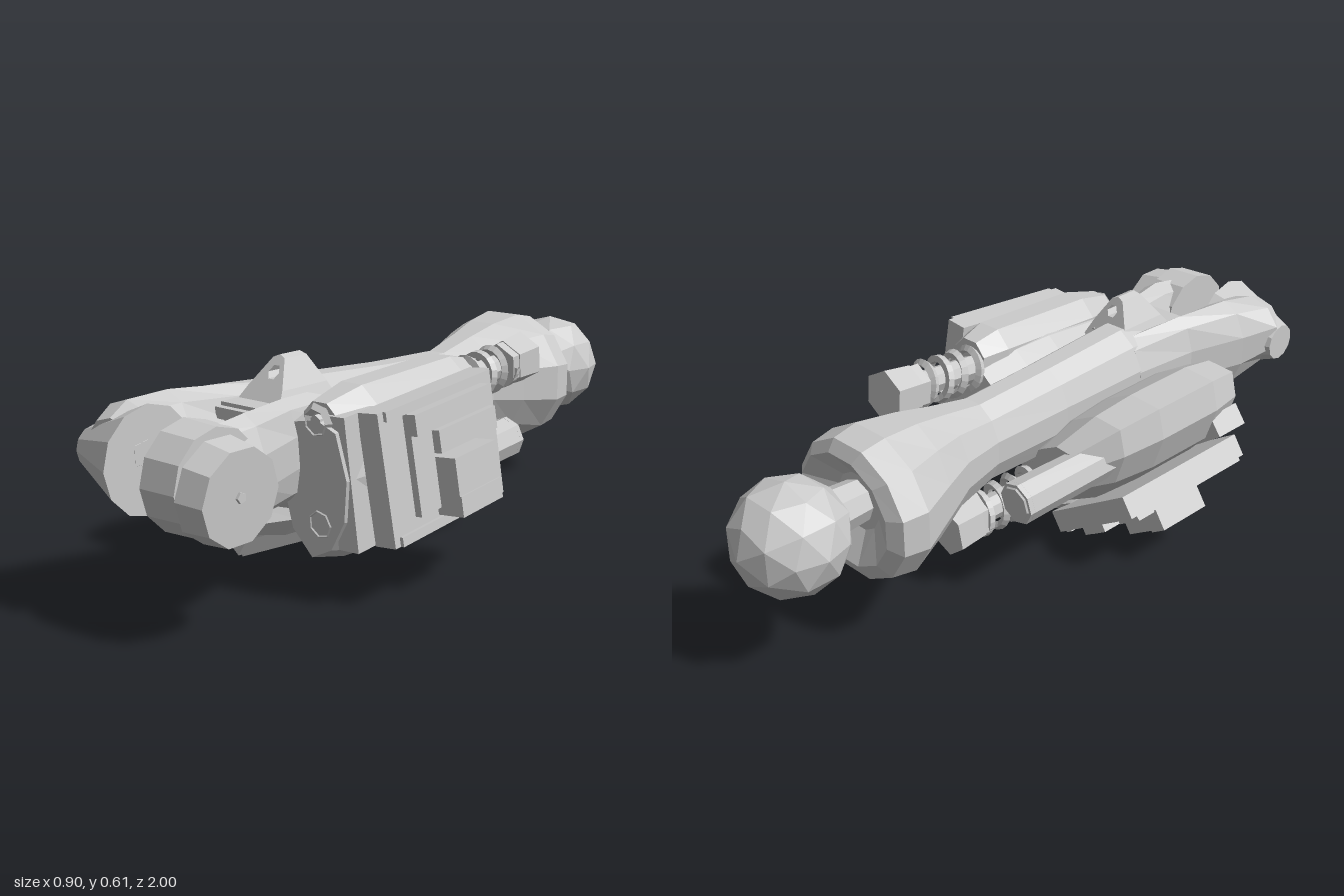
import * as THREE from 'three';

const mat = new THREE.MeshStandardMaterial({ color: 0xcccccc, flatShading: true, side: THREE.DoubleSide });

function add(parent, name, geo, x = 0, y = 0, z = 0) {
  const m = new THREE.Mesh(geo, mat);
  m.name = name;
  m.position.set(x, y, z);
  parent.add(m);
  return m;
}

// box from its minimum and maximum corners
function box(parent, name, x0, x1, y0, y1, z0, z1) {
  return add(parent, name, new THREE.BoxGeometry(x1 - x0, y1 - y0, z1 - z0),
    (x0 + x1) / 2, (y0 + y1) / 2, (z0 + z1) / 2);
}

const cylZ = (r0, r1, len, n) => new THREE.CylinderGeometry(r0, r1, len, n).rotateX(Math.PI / 2);
const cylX = (r0, r1, len, n) => new THREE.CylinderGeometry(r0, r1, len, n).rotateZ(-Math.PI / 2);

// skin over rings of points [x, y, z], with closed ends
function loft(rings) {
  const n = rings[0].length, pos = rings.flat(2), idx = [];
  for (let i = 0; i < rings.length - 1; i++) {
    for (let j = 0; j < n; j++) {
      const a = i * n + j, b = i * n + (j + 1) % n;
      idx.push(a, b, b + n, a, b + n, a + n);
    }
  }
  for (const end of [0, rings.length - 1]) {
    const c = pos.length / 3;
    for (let k = 0; k < 3; k++) pos.push(rings[end].reduce((s, p) => s + p[k], 0) / n);
    for (let j = 0; j < n; j++) {
      const a = end * n + j, b = end * n + (j + 1) % n;
      if (end === 0) idx.push(c, b, a); else idx.push(c, a, b);
    }
  }
  const g = new THREE.BufferGeometry();
  g.setAttribute('position', new THREE.Float32BufferAttribute(pos, 3));
  g.setIndex(idx);
  const flat = g.toNonIndexed();
  flat.computeVertexNormals();
  return flat;
}

// rows of [z, x0, x1, y0, y1] become elliptical rings
function ellipseLoft(rows, n) {
  return loft(rows.map(([z, x0, x1, y0, y1]) => Array.from({ length: n }, (_, j) => {
    const a = ((j + 0.5) / n) * Math.PI * 2;
    return [(x0 + x1) / 2 + Math.cos(a) * (x1 - x0) / 2, (y0 + y1) / 2 + Math.sin(a) * (y1 - y0) / 2, z];
  })));
}

// side unit: shell, armour plate, spring damper and piston
function buildPod() {
  const pod = new THREE.Group();
  const profile = [[0.03, 0.46], [0.05, 0.28], [0.07, 0.17], [0.14, 0.09], [0.22, 0.13], [0.28, 0.23],
    [0.30, 0.36], [0.27, 0.50], [0.20, 0.53], [0.10, 0.51]];
  const rows = [[-0.05, 0.6], [0.07, 0.9], [0.2, 1], [0.42, 1], [0.54, 0.85]];
  add(pod, 'podShell', loft(rows.map(([z, s]) =>
    profile.map(([x, y]) => [0.16 + (x - 0.16) * s, 0.37 + (y - 0.37) * s, z]))));
  const frontSlab = box(pod, 'frontSlab', 0.22, 0.285, 0.17, 0.52, 0.42, 0.53);
  frontSlab.rotation.z = 0.05;

  // upper housing that carries the damper
  add(pod, 'upperHousing', ellipseLoft([[-0.04, 0.12, 0.25, 0.4, 0.53], [0.04, 0.1, 0.28, 0.39, 0.555],
    [0.4, 0.1, 0.28, 0.4, 0.57], [0.52, 0.13, 0.25, 0.43, 0.55]], 8));
  // front sockets
  for (const [x, y] of [[0.18, 0.23], [0.19, 0.5]]) {
    add(pod, 'socketRing', new THREE.TorusGeometry(0.035, 0.013, 4, 7), x, y, 0.53);
    add(pod, 'socketPin', cylZ(0.018, 0.018, 0.06, 6), x, y, 0.51);
  }

  // armour plate with raised blocks
  const armour = new THREE.Group();
  armour.name = 'armour';
  armour.position.set(0.325, 0.355, 0);
  armour.rotation.z = 0.1;
  pod.add(armour);
  box(armour, 'plate', -0.035, 0.03, -0.175, 0.17, 0.02, 0.48);
  for (const y of [-0.175, 0.145]) box(armour, 'plateRim', -0.02, 0.04, y, y + 0.025, 0.04, 0.46);
  const blocks = [[0.07, 0.09, 0.145, 0.08, 0.39], [0.05, -0.12, 0.1, 0.31, 0.39],
    [0.065, 0.02, 0.08, 0.06, 0.3], [0.105, -0.12, 0.01, 0.13, 0.3],
    [0.11, -0.145, -0.09, 0.13, 0.3], [0.05, -0.15, -0.06, 0.06, 0.12]];
  for (const [x, y0, y1, z0, z1] of blocks) box(armour, 'armourBlock', 0.01, x, y0, y1, z0, z1);

  // spring damper
  const pts = Array.from({ length: 49 }, (_, i) => {
    const a = (i / 48) * Math.PI * 8;
    return new THREE.Vector3(0.175 + Math.cos(a) * 0.056, 0.445 + Math.sin(a) * 0.056, -0.03 - 0.23 * i / 48);
  });
  add(pod, 'spring', new THREE.TubeGeometry(new THREE.CatmullRomCurve3(pts), 80, 0.013, 4));
  add(pod, 'springRod', cylZ(0.036, 0.036, 0.32, 8), 0.175, 0.445, -0.16);
  add(pod, 'springCollar', cylZ(0.065, 0.065, 0.03, 6), 0.175, 0.445, -0.26);
  add(pod, 'springCap', cylZ(0.068, 0.075, 0.09, 6), 0.175, 0.445, -0.32);

  // piston
  add(pod, 'piston', cylZ(0.055, 0.06, 0.36, 8), 0.19, 0.23, -0.08);
  add(pod, 'pistonEnd', cylZ(0.06, 0.048, 0.02, 8), 0.19, 0.23, -0.255);
  return pod;
}

export function createModel() {
  const model = new THREE.Group();

  // ball joint and neck
  add(model, 'ballJoint', new THREE.IcosahedronGeometry(0.155, 1), -0.04, 0.375, -0.845);
  add(model, 'ballNeck', cylZ(0.055, 0.065, 0.16, 8), -0.04, 0.385, -0.66);

  // long shaft with a swollen, hollowed rear end
  add(model, 'shaft', ellipseLoft([
    [-0.63, -0.12, 0.04, 0.30, 0.46], [-0.68, -0.21, 0.13, 0.22, 0.53], [-0.66, -0.255, 0.155, 0.18, 0.565],
    [-0.59, -0.27, 0.165, 0.17, 0.58], [-0.47, -0.215, 0.12, 0.2, 0.565], [-0.36, -0.165, 0.085, 0.24, 0.54],
    [-0.22, -0.13, 0.07, 0.26, 0.51], [0.05, -0.13, 0.08, 0.25, 0.52], [0.35, -0.14, 0.09, 0.24, 0.54],
    [0.5, -0.13, 0.11, 0.24, 0.52]], 12));
  // underside keel joining the side units
  add(model, 'keel', ellipseLoft([[-0.05, -0.1, 0.08, 0.24, 0.36], [0.1, -0.15, 0.13, 0.18, 0.38],
    [0.42, -0.15, 0.13, 0.18, 0.38], [0.56, -0.08, 0.08, 0.23, 0.36]], 8));

  // crest with a through hole, thinner toward the top
  const crest = new THREE.Shape([[-0.09, 0.46], [0.09, 0.46], [0.06, 0.53], [0.02, 0.6], [0, 0.608], [-0.02, 0.6],
    [-0.06, 0.53]].map(([x, y]) => new THREE.Vector2(x, y)));
  crest.holes.push(new THREE.Path().absarc(0.005, 0.567, 0.018, 0, Math.PI * 2, true));
  const crestGeo = new THREE.ExtrudeGeometry(crest, { depth: 1, bevelEnabled: false, curveSegments: 3 });
  const p = crestGeo.attributes.position;
  for (let i = 0; i < p.count; i++) {
    const t = (p.getY(i) - 0.46) / 0.14;
    p.setZ(i, 0.455 - 0.02 * t + (p.getZ(i) - 0.5) * (0.25 - 0.17 * t));
  }
  crestGeo.computeVertexNormals();
  add(model, 'crest', crestGeo);

  // fork prongs with their knuckles
  add(model, 'rightProng', ellipseLoft([[0.35, -0.14, 0.0, 0.26, 0.51], [0.55, -0.17, -0.05, 0.25, 0.53],
    [0.72, -0.235, -0.06, 0.26, 0.54], [0.83, -0.28, -0.06, 0.32, 0.53], [0.9, -0.24, -0.06, 0.34, 0.5]], 10));
  add(model, 'rightKnuckle', cylX(0.14, 0.055, 0.21, 12), -0.17, 0.4, 0.855);
  add(model, 'leftProng', ellipseLoft([[0.35, 0.0, 0.1, 0.26, 0.51], [0.55, 0.04, 0.13, 0.25, 0.52],
    [0.72, 0.05, 0.19, 0.25, 0.52], [0.86, 0.06, 0.17, 0.26, 0.5]], 10));
  add(model, 'leftKnuckle', cylX(0.135, 0.14, 0.11, 12), 0.11, 0.385, 0.85);
  const cap = add(model, 'knuckleCap', cylX(0.12, 0.13, 0.08, 10), 0.205, 0.37, 0.855);
  cap.rotation.z = -0.06;
  add(model, 'capBolt', cylX(0.014, 0.014, 0.012, 5), 0.247, 0.37, 0.86);
  add(model, 'axle', cylX(0.02, 0.02, 0.2, 8), 0, 0.385, 0.85);

  // stepped web between the prongs
  for (const [y, z] of [[0.5, 0.61], [0.43, 0.69], [0.34, 0.77]]) {
    box(model, 'webStep', -0.075, 0.065, 0.25, y, 0.42, z);
    box(model, 'webRung', -0.075, 0.065, y - 0.04, y - 0.01, z, z + 0.02);
  }

  // two side units, pitched slightly, the second turned about the shaft
  const c = new THREE.Vector3(-0.02, 0.39, 0.25);
  ['leftPod', 'rightPod'].forEach((name, i) => {
    const turn = new THREE.Group(), pod = buildPod();
    turn.name = name;
    pod.position.copy(c).negate();
    turn.position.copy(c);
    turn.rotation.set(0.085, 0, i * THREE.MathUtils.degToRad(231), 'ZYX');
    turn.add(pod);
    model.add(turn);
  });
  return model;
}
